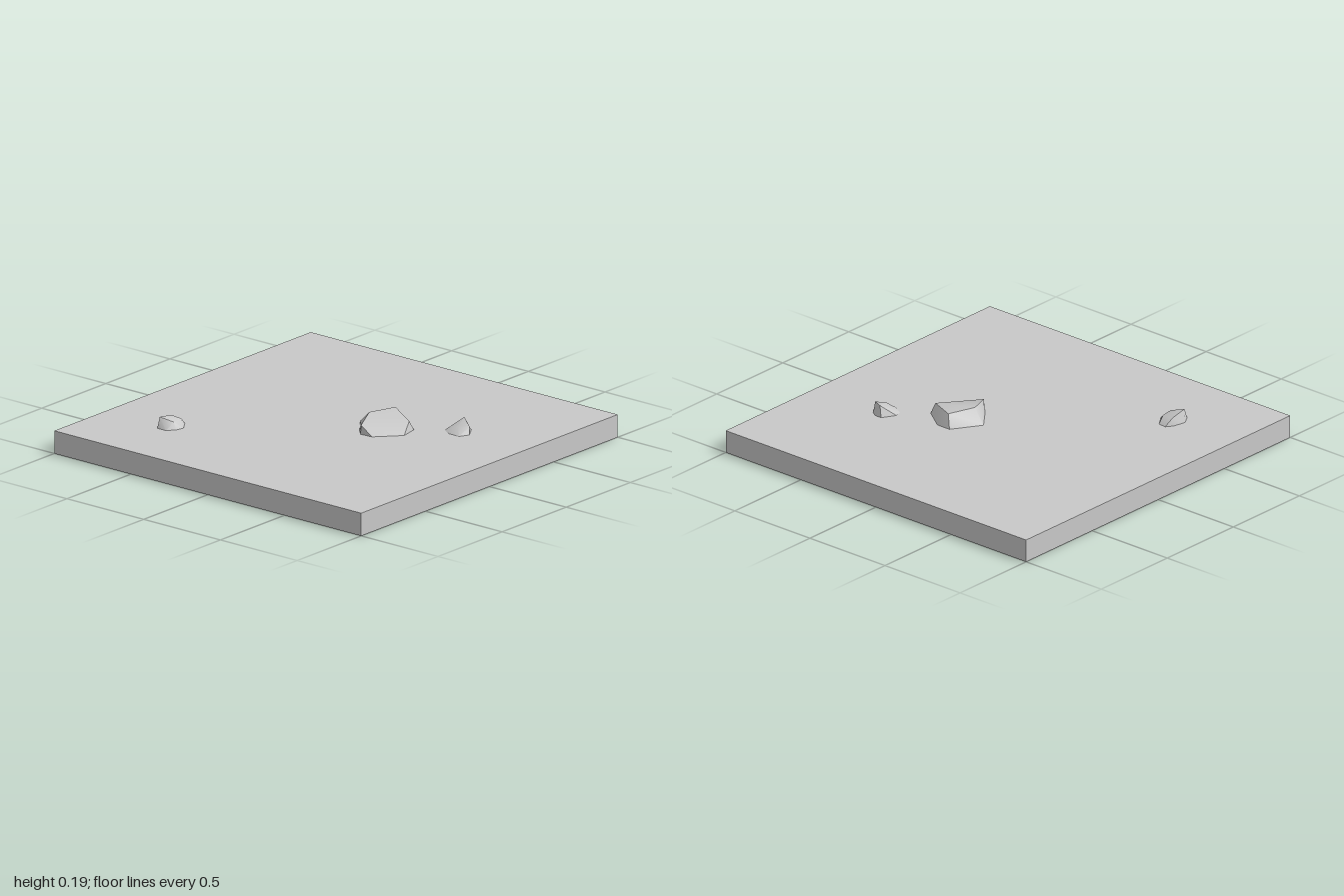
import * as THREE from 'three';
import { toCreasedNormals } from 'three/addons/utils/BufferGeometryUtils.js';
import { ConvexGeometry } from 'three/addons/geometries/ConvexGeometry.js';

const TOP = 0.12; // height of the ground surface

// Each rock: base outline as [x, z] and raised corners as [x, y, z]
const ROCKS = [
  {
    name: 'largeRock',
    base: [[0.1, 0.075], [0.25, 0.17], [0.25, 0.25], [0.165, 0.37], [0.065, 0.39], [-0.055, 0.28], [-0.06, 0.21], [-0.02, 0.17]],
    peaks: [[-0.058, 0.168, 0.212], [0.08, 0.188, 0.15], [0.225, 0.188, 0.2], [0.14, 0.17, 0.36]],
  },
  {
    name: 'smallFrontRock',
    base: [[0.3, 0.48], [0.37, 0.52], [0.37, 0.56], [0.35, 0.59], [0.28, 0.635], [0.23, 0.61], [0.23, 0.545], [0.26, 0.49]],
    peaks: [[0.355, 0.175, 0.54], [0.3, 0.155, 0.62], [0.27, 0.154, 0.57]],
  },
  {
    name: 'smallBackRock',
    base: [[-0.59, -0.66], [-0.52, -0.645], [-0.485, -0.62], [-0.49, -0.575], [-0.555, -0.53], [-0.6, -0.54], [-0.64, -0.575], [-0.64, -0.63]],
    peaks: [[-0.62, 0.175, -0.63], [-0.525, 0.16, -0.635], [-0.525, 0.155, -0.57], [-0.595, 0.156, -0.56]],
  },
];

// Convex shell over the outline, left open underneath
function rockGeometry({ base, peaks }) {
  const points = [
    ...base.map(([x, z]) => new THREE.Vector3(x, TOP, z)),
    ...peaks.map((p) => new THREE.Vector3(...p)),
  ];
  const pos = new ConvexGeometry(points).getAttribute('position');
  const kept = [];
  for (let i = 0; i < pos.count; i += 3) {
    const corners = [i, i + 1, i + 2];
    if (corners.every((k) => pos.getY(k) < TOP + 1e-4)) continue;
    for (const k of corners) kept.push(pos.getX(k), pos.getY(k), pos.getZ(k));
  }
  const geo = new THREE.BufferGeometry();
  geo.setAttribute('position', new THREE.Float32BufferAttribute(kept, 3));
  return toCreasedNormals(geo, 0.7);
}

export function createModel() {
  const group = new THREE.Group();
  group.name = 'rockyGroundTile';
  const stone = new THREE.MeshStandardMaterial({ color: 0xc8c8c8, side: THREE.DoubleSide });
  stone.name = 'grey stone';

  const add = (name, geometry) => {
    const mesh = new THREE.Mesh(geometry, stone);
    mesh.name = name;
    group.add(mesh);
    return mesh;
  };

  // Ground surface, open beneath each rock
  const square = new THREE.Shape([[-1, -1], [1, -1], [1, 1], [-1, 1]].map((p) => new THREE.Vector2(...p)));
  for (const { base } of ROCKS) {
    square.holes.push(new THREE.Path(base.map(([x, z]) => new THREE.Vector2(x, -z))));
  }
  add('groundSurface', new THREE.ShapeGeometry(square).rotateX(-Math.PI / 2).translate(0, TOP, 0));

  // Four side walls, with no floor
  ['frontWall', 'leftWall', 'backWall', 'rightWall'].forEach((name, i) => {
    add(name, new THREE.PlaneGeometry(2, TOP).translate(0, TOP / 2, 1).rotateY((i * Math.PI) / 2));
  });

  // Rocks
  for (const rock of ROCKS) add(rock.name, rockGeometry(rock));

  return group;
}
